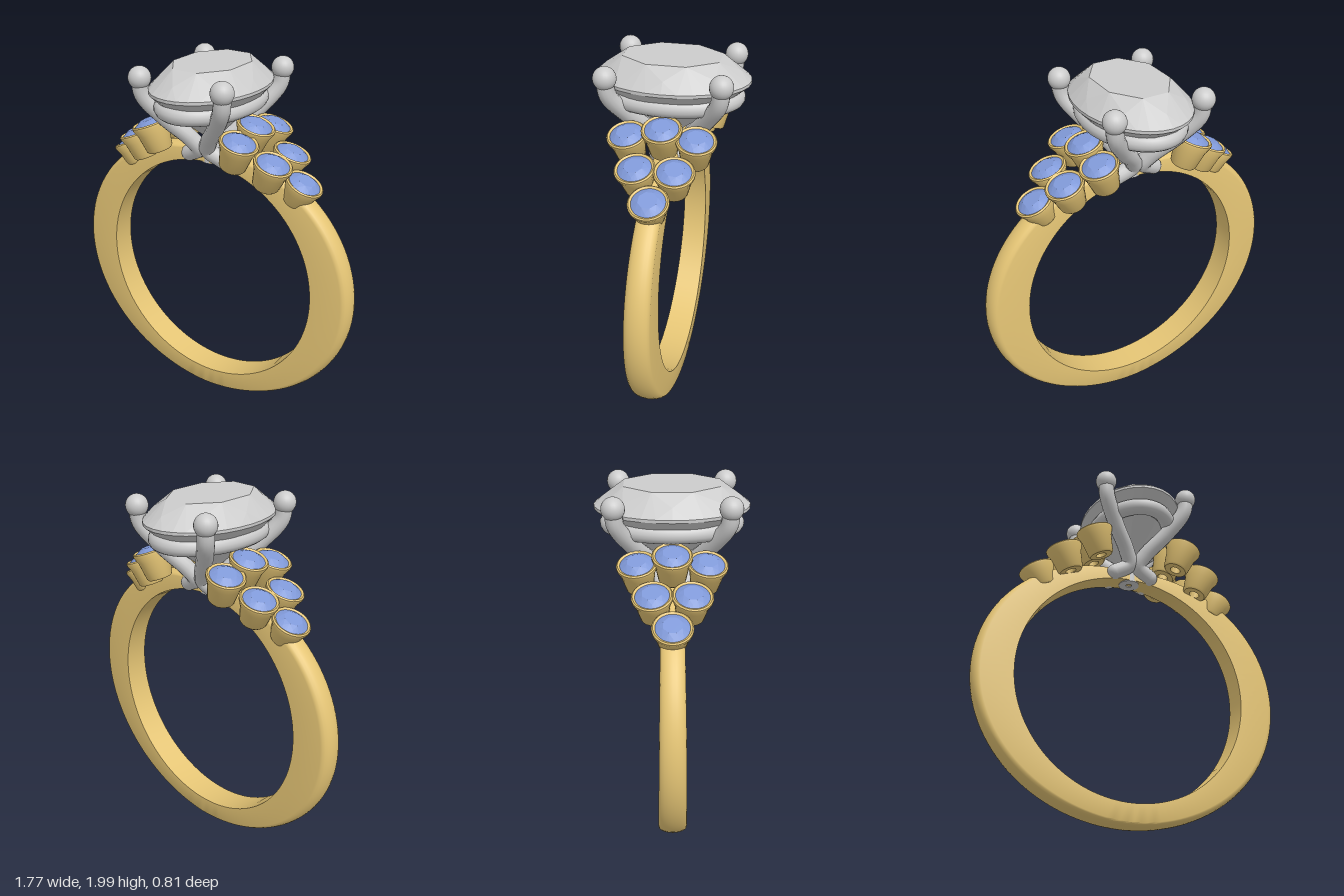
import * as THREE from 'three';
import { toCreasedNormals } from 'three/addons/utils/BufferGeometryUtils.js';
import { ConvexGeometry } from 'three/addons/geometries/ConvexGeometry.js';

const gold = new THREE.MeshStandardMaterial({ color: 0xe5c575 });
const silver = new THREE.MeshStandardMaterial({ color: 0xcccccc });
const clearStone = new THREE.MeshStandardMaterial({ color: 0xcccccc, flatShading: true });
const blueStone = new THREE.MeshStandardMaterial({ color: 0x8099d8, flatShading: true });

function add(parent, name, geometry, material, x = 0, y = 0, z = 0) {
  const mesh = new THREE.Mesh(geometry, material);
  mesh.name = name;
  mesh.position.set(x, y, z);
  parent.add(mesh);
  return mesh;
}

// Band: flat inside and sides, domed outside, thinner at top and bottom
function bandGeometry() {
  const cy = 0.795, inner = 0.667, steps = 128, dome = 10, n = dome + 3;
  const pos = [], index = [];
  for (let i = 0; i < steps; i++) {
    const a = (i / steps) * Math.PI * 2;
    const c = Math.cos(a), s = Math.sin(a);
    const outer = s > 0
      ? 0.735 + 0.15 * Math.pow(Math.abs(c), 1.3)
      : 1 / Math.hypot(c / 0.885, s / 0.785);
    const w = 0.069 - 0.011 * s;
    const rise = 0.018 + 0.022 * Math.abs(c);
    const put = (r, z) => pos.push(r * c, cy + r * s, z);
    put(inner, -w);
    for (let k = 0; k <= dome; k++) {
      const t = -Math.PI / 2 + (k / dome) * Math.PI;
      put(outer - rise + rise * Math.cos(t), w * Math.sin(t));
    }
    put(inner, w);
    for (let j = 0; j < n; j++) {
      const i2 = (i + 1) % steps, j2 = (j + 1) % n;
      const p = i * n + j, q = i2 * n + j, r = i2 * n + j2, u = i * n + j2;
      index.push(p, q, r, p, r, u);
    }
  }
  const g = new THREE.BufferGeometry();
  g.setAttribute('position', new THREE.Float32BufferAttribute(pos, 3));
  g.setIndex(index);
  return toCreasedNormals(g, 0.6);
}

// Faceted oval stone with its girdle at y = 0
function stoneGeometry(rx, rz, crown, depth, table, sides) {
  const points = [new THREE.Vector3(0, -depth, 0)];
  const ring = (scale, y, count, turn) => {
    for (let i = 0; i < count; i++) {
      const a = ((i + turn) / count) * Math.PI * 2;
      points.push(new THREE.Vector3(rx * scale * Math.cos(a), y, rz * scale * Math.sin(a)));
    }
  };
  ring(table, crown, sides, 0.5);
  ring((1 + table) / 2 + 0.03, crown * 0.5, sides, 0);
  ring(1, 0.008 * rx / 0.285, sides * 4, 0);
  ring(1, -0.008 * rx / 0.285, sides * 4, 0);
  ring(0.6, -depth * 0.45, sides, 0.5);
  return new ConvexGeometry(points);
}

// Tapered cup with a flared lip and a hole in its base
function bezelGeometry(length) {
  const profile = [
    [0.03, -length], [0.064, -length], [0.072, -length + 0.01], [0.088, -0.05],
    [0.104, -0.012], [0.104, 0], [0.097, 0.007], [0.086, 0], [0.084, -0.03],
    [0.03, -0.07], [0.03, -length],
  ].map(([r, y]) => new THREE.Vector2(r, y));
  return toCreasedNormals(new THREE.LatheGeometry(profile, 32), 0.6);
}

export function createModel() {
  const root = new THREE.Group();
  root.name = 'ring';
  add(root, 'band', bandGeometry(), gold);

  // Six bezel-set side stones on each shoulder: x, y, z, tilt, lean, length
  const layout = [
    [0.565, 1.45, 0, 0.45, 0, 0.125],
    [0.435, 1.56, 0.1, 0.36, 0.08, 0.145],
    [0.435, 1.56, -0.1, 0.36, -0.08, 0.145],
    [0.27, 1.705, 0, 0.33, 0, 0.155],
    [0.28, 1.665, 0.178, 0.33, 0.1, 0.155],
    [0.28, 1.665, -0.178, 0.33, -0.1, 0.155],
  ];
  const smallStone = stoneGeometry(0.087, 0.087, 0.026, 0.06, 0.58, 8);
  for (const side of [-1, 1]) {
    const shoulder = new THREE.Group();
    shoulder.name = side > 0 ? 'leftShoulder' : 'rightShoulder';
    for (const [x, y, z, tilt, lean, length] of layout) {
      const setting = new THREE.Group();
      setting.name = 'sideSetting';
      setting.position.set(side * x, y, z);
      setting.rotation.set(lean, 0, -side * tilt);
      add(setting, 'bezel', bezelGeometry(length), gold);
      add(setting, 'sideStone', smallStone, blueStone, 0, -0.003, 0);
      shoulder.add(setting);
    }
    root.add(shoulder);
  }

  // Oval centre stone and the rail below it
  add(root, 'centerStone', stoneGeometry(0.285, 0.405, 0.115, 0.32, 0.66, 8), clearStone, 0, 1.885, 0);
  const railPath = new THREE.CatmullRomCurve3(
    Array.from({ length: 24 }, (_, i) => {
      const a = (i / 24) * Math.PI * 2;
      return new THREE.Vector3(0.215 * Math.cos(a), 1.795, 0.33 * Math.sin(a));
    }), true);
  add(root, 'galleryRail', new THREE.TubeGeometry(railPath, 80, 0.046, 14, true), silver);

  // Four prongs that pinch together, then spread into feet over the band
  for (const sx of [-1, 1]) {
    for (const sz of [-1, 1]) {
      const prong = new THREE.Group();
      prong.name = 'prong';
      const path = new THREE.CatmullRomCurve3([
        [0.25, 1.94, 0.29], [0.24, 1.85, 0.28], [0.155, 1.72, 0.205],
        [0.06, 1.61, 0.125], [0.03, 1.545, 0.085], [0.11, 1.495, 0.06],
      ].map(([x, y, z]) => new THREE.Vector3(sx * x, y, sz * z)));
      add(prong, 'prongArm', new THREE.TubeGeometry(path, 48, 0.045, 14), silver);
      add(prong, 'prongTip', new THREE.SphereGeometry(0.06, 24, 16), silver, sx * 0.25, 1.94, sz * 0.29);
      add(prong, 'prongFoot', new THREE.SphereGeometry(0.045, 16, 12), silver, sx * 0.11, 1.495, sz * 0.06);
      root.add(prong);
    }
  }

  // Hollow peg joining the head to the band
  const peg = [[0.018, 1.455], [0.06, 1.455], [0.06, 1.58], [0.018, 1.58], [0.018, 1.455]]
    .map(([r, y]) => new THREE.Vector2(r, y));
  add(root, 'headPeg', toCreasedNormals(new THREE.LatheGeometry(peg, 24), 0.6), silver);
  return root;
}
